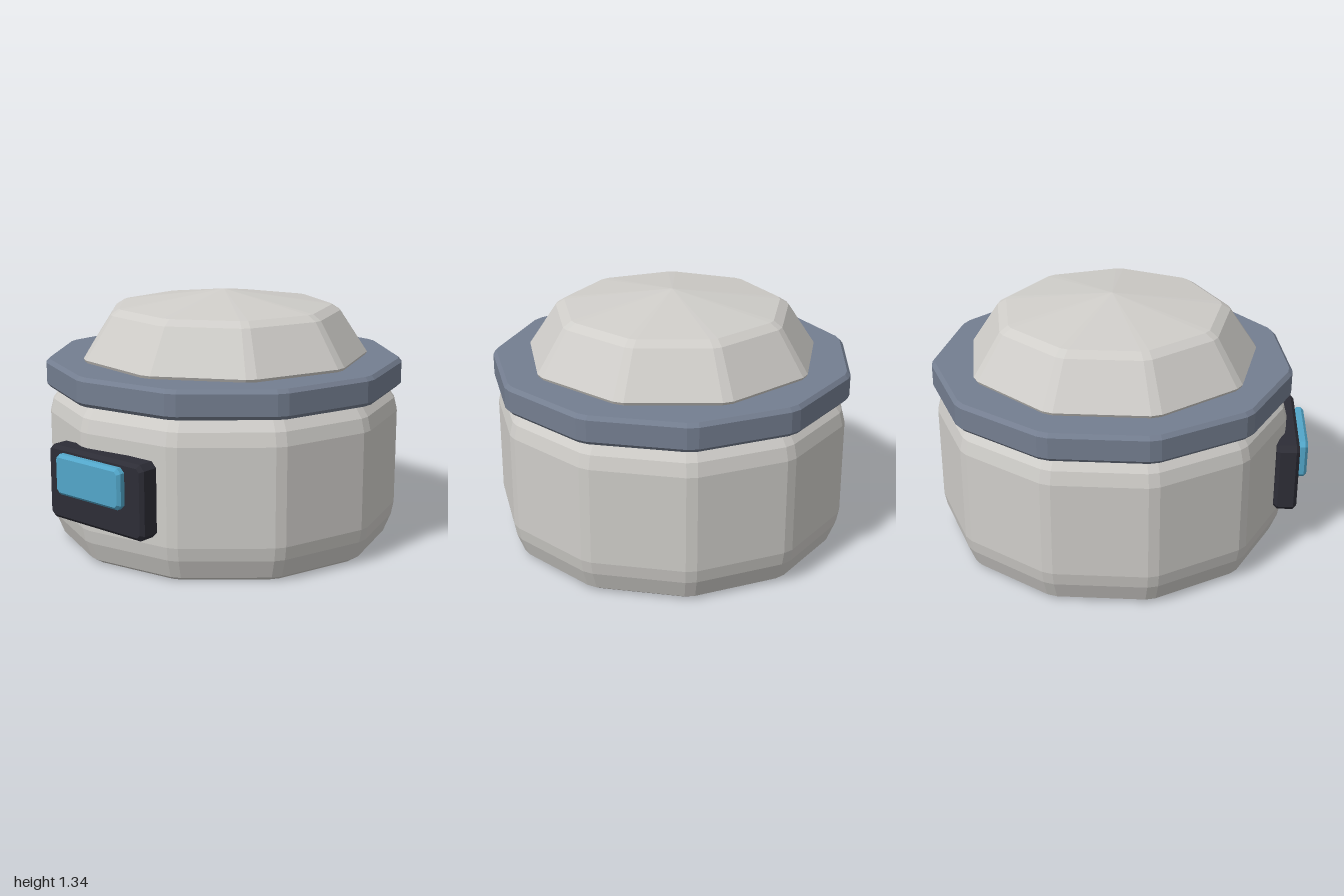
import * as THREE from 'three';

const mat = (name, color) => {
  const m = new THREE.MeshStandardMaterial({ color });
  m.name = name;
  return m;
};

// Stacks n-sided rings along a [radius, height] profile; each corner is cut by a narrow chamfer.
function facetedTurn(sides, profile, cut = 0.055) {
  const corner = (k, r, y) => {
    const a = (k / sides) * Math.PI * 2;
    return new THREE.Vector3(r * Math.cos(a), y, r * Math.sin(a));
  };
  const rings = profile.map(([r, y]) => {
    const ring = [];
    for (let k = 0; k < sides; k++) {
      const p = corner(k, r, y);
      ring.push(p.clone().lerp(corner(k - 1, r, y), cut), p.clone().lerp(corner(k + 1, r, y), cut));
    }
    return ring;
  });
  const points = [];
  for (let s = 0; s < rings.length - 1; s++) {
    const lo = rings[s], hi = rings[s + 1];
    for (let i = 0; i < lo.length; i++) {
      const j = (i + 1) % lo.length;
      if (profile[s + 1][0] > 0) points.push(lo[i], hi[i], hi[j]);
      if (profile[s][0] > 0) points.push(lo[i], hi[j], lo[j]);
    }
  }
  const geometry = new THREE.BufferGeometry().setFromPoints(points);
  geometry.computeVertexNormals();
  return geometry;
}

// Box with chamfered edges and corners, spanning the given limits.
function chamferBox(x0, x1, y0, y1, z0, z1, c) {
  const shape = new THREE.Shape([
    [x0 + 2 * c, y0 + c], [x1 - 2 * c, y0 + c], [x1 - c, y0 + 2 * c], [x1 - c, y1 - 2 * c],
    [x1 - 2 * c, y1 - c], [x0 + 2 * c, y1 - c], [x0 + c, y1 - 2 * c], [x0 + c, y0 + 2 * c],
  ].map(([x, y]) => new THREE.Vector2(x, y)));
  const geometry = new THREE.ExtrudeGeometry(shape, {
    depth: z1 - z0 - 2 * c, bevelEnabled: true, bevelSegments: 1, bevelSize: c, bevelThickness: c,
  });
  return geometry.translate(0, 0, z0 + c);
}

export function createModel() {
  const model = new THREE.Group();
  model.name = 'lidded canister';
  const shell = mat('warm light grey', 0xcfcdc9);
  const slate = mat('slate blue grey', 0x747e90);
  const black = mat('dark charcoal', 0x2d2d36);
  const blue = mat('sky blue', 0x52a6c9);

  const add = (name, geometry, material) => {
    const mesh = new THREE.Mesh(geometry, material);
    mesh.name = name;
    model.add(mesh);
    return mesh;
  };
  const cx = -0.02, cz = -0.05;

  // Eleven-sided body with rounded-off rims
  add('body', facetedTurn(11, [
    [0, 0], [0.865, 0], [0.895, 0.02], [0.935, 0.12], [0.948, 0.19],
    [0.948, 0.7], [0.93, 0.77], [0.89, 0.825], [0.87, 0.84], [0, 0.84],
  ]), shell).position.set(cx, 0, cz);

  // Overhanging collar
  add('collar', facetedTurn(11, [
    [0, 0.835], [0.945, 0.835], [0.964, 0.855], [0.964, 0.965], [0.945, 0.985], [0, 0.985],
  ]), slate).position.set(cx, 0, cz);

  // Nine-sided domed lid
  add('lid', facetedTurn(9, [
    [0, 0.98], [0.772, 0.98], [0.783, 1.0], [0.633, 1.225], [0.585, 1.255], [0, 1.338],
  ]), shell).position.set(cx, 0, cz);

  // Front control panel and its screen
  add('panel', chamferBox(-0.345, 0.31, 0.24, 0.625, 0.83, 0.95, 0.018), black);
  add('screen', chamferBox(-0.245, 0.205, 0.39, 0.6, 0.945, 1.0, 0.015), blue);

  return model;
}
